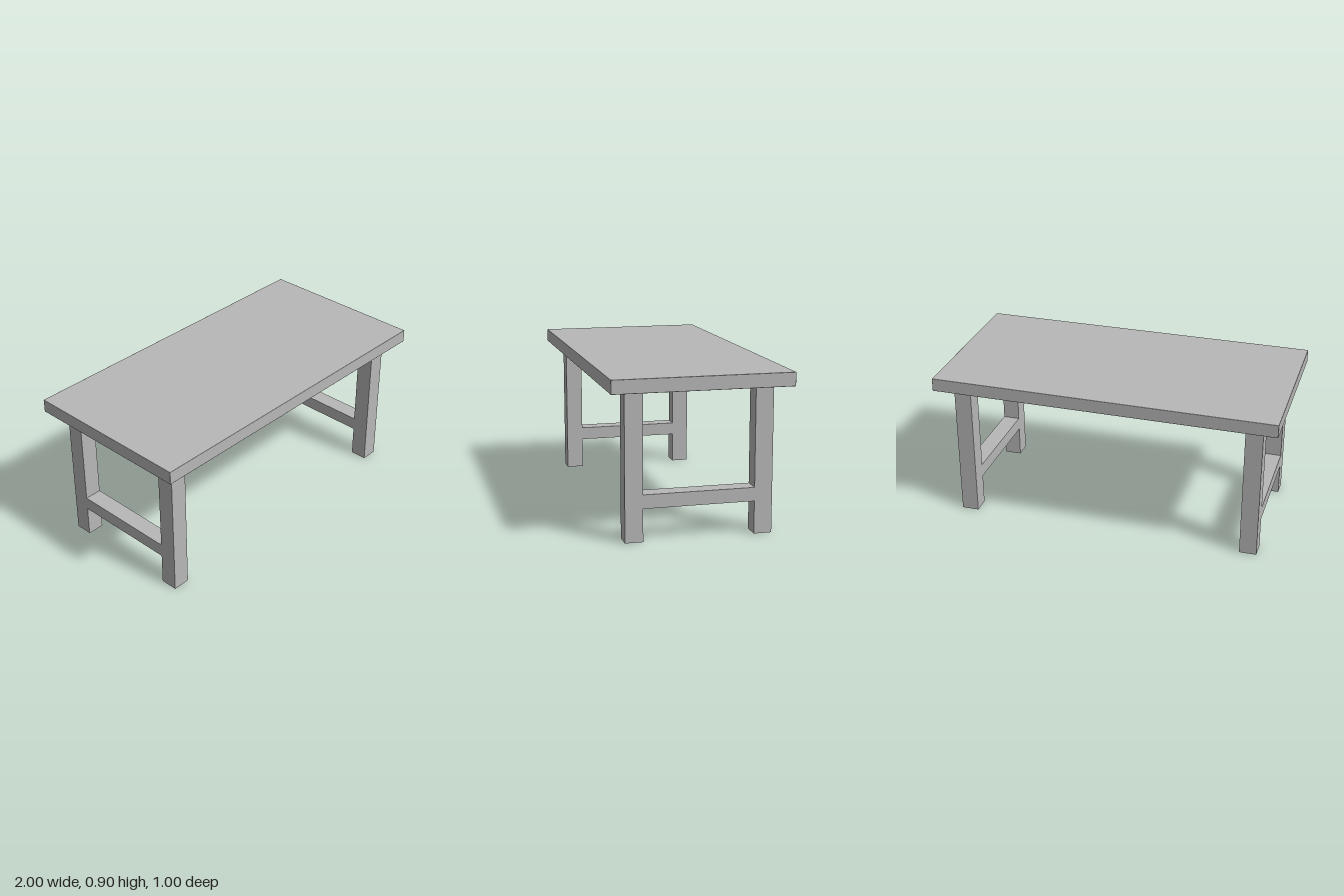
import * as THREE from 'three';
import { RoundedBoxGeometry } from 'three/addons/geometries/RoundedBoxGeometry.js';

export function createModel() {
  const group = new THREE.Group();
  const grey = new THREE.MeshStandardMaterial({ color: 0xb8b8b8 });
  grey.name = 'plain grey';

  const add = (name, geometry, x, y, z) => {
    const mesh = new THREE.Mesh(geometry, grey);
    mesh.name = name;
    mesh.position.set(x, y, z);
    group.add(mesh);
  };

  const height = 0.9, topThickness = 0.077, legWidth = 0.1;
  const legHeight = height - topThickness;
  const legX = 0.857, legZ = 0.36;

  // Tabletop with barely softened edges
  add('tabletop', new RoundedBoxGeometry(2, topThickness, 1, 1, 0.003), 0, height - topThickness / 2, 0);

  // Two end frames: a pair of square legs joined by a low, flush stretcher
  const legGeometry = new THREE.BoxGeometry(legWidth, legHeight, legWidth);
  const stretcherGeometry = new THREE.BoxGeometry(legWidth, 0.077, 2 * legZ - legWidth);
  for (const [side, sx] of [['left', 1], ['right', -1]]) {
    for (const [end, sz] of [['Front', 1], ['Back', -1]]) {
      add(`${side}${end}Leg`, legGeometry, sx * legX, legHeight / 2, sz * legZ);
    }
    add(`${side}Stretcher`, stretcherGeometry, sx * legX, 0.222, 0);
  }

  return group;
}
